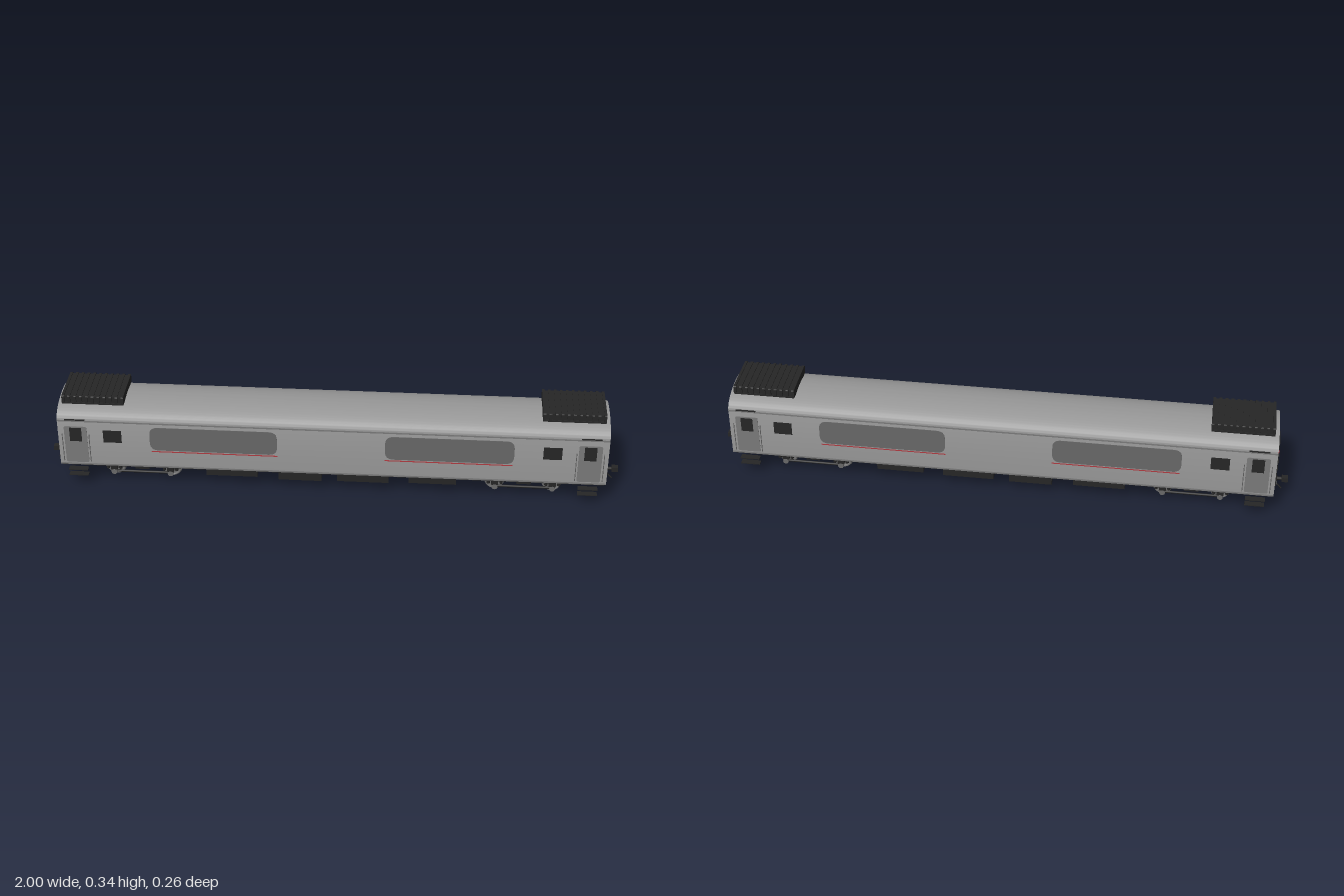
import * as THREE from 'three';
import { toCreasedNormals } from 'three/addons/utils/BufferGeometryUtils.js';

const mat = (name, color) => {
  const m = new THREE.MeshStandardMaterial({ color });
  m.name = name;
  return m;
};

export function createModel() {
  const grey = mat('body grey', 0x979797);
  const doorGrey = mat('door grey', 0x7a7a7a);
  const glass = mat('window grey', 0x686868);
  const metal = mat('wheel metal', 0x6a6a6a);
  const black = mat('black', 0x262626);
  const yellow = mat('end yellow', 0xc99726);
  const red = mat('red', 0xb03a40);

  const model = new THREE.Group();
  model.name = 'railCarriage';

  const add = (parent, name, geo, material, x = 0, y = 0, z = 0) => {
    const m = new THREE.Mesh(geo, material);
    m.name = name;
    m.position.set(x, y, z);
    parent.add(m);
    return m;
  };
  // Box given by its limits on each axis
  const box = (parent, name, material, x0, x1, y0, y1, z0, z1) =>
    add(parent, name, new THREE.BoxGeometry(x1 - x0, y1 - y0, z1 - z0), material,
      (x0 + x1) / 2, (y0 + y1) / 2, (z0 + z1) / 2);
  // Cylinder along an axis
  const rod = (parent, name, material, axis, r, len, x, y, z, sides = 12) => {
    const g = new THREE.CylinderGeometry(r, r, len, sides);
    if (axis === 'x') g.rotateZ(Math.PI / 2);
    if (axis === 'z') g.rotateX(Math.PI / 2);
    return add(parent, name, g, material, x, y, z);
  };
  // Rounded rectangle plate facing +z, centred on its own origin
  const roundedPlate = (w, h, r, depth) => {
    const s = new THREE.Shape();
    const a = w / 2, b = h / 2;
    s.moveTo(-a + r, -b);
    s.lineTo(a - r, -b).quadraticCurveTo(a, -b, a, -b + r);
    s.lineTo(a, b - r).quadraticCurveTo(a, b, a - r, b);
    s.lineTo(-a + r, b).quadraticCurveTo(-a, b, -a, b - r);
    s.lineTo(-a, -b + r).quadraticCurveTo(-a, -b, -a + r, -b);
    return new THREE.ExtrudeGeometry(s, { depth, bevelEnabled: false, curveSegments: 6 });
  };

  // Body shell with an arched roof and yellow ends
  const section = new THREE.Shape();
  section.moveTo(-0.12, 0.084);
  section.lineTo(0.12, 0.084);
  section.lineTo(0.12, 0.264);
  section.absellipse(0, 0.264, 0.12, 0.05, 0, Math.PI, false);
  section.closePath();
  const shell = new THREE.ExtrudeGeometry(section, { depth: 1.9, bevelEnabled: false, curveSegments: 28 });
  shell.translate(0, 0, -0.95).rotateY(Math.PI / 2);
  add(model, 'bodyShell', toCreasedNormals(shell, 0.5), [yellow, grey]);
  box(model, 'underframe', black, -0.945, 0.945, 0.076, 0.085, -0.112, 0.112);

  // Equipment boxes under the floor
  [[-0.44, -0.26, 0.046], [-0.185, -0.035, 0.039], [0.02, 0.2, 0.042], [0.27, 0.435, 0.046]]
    .forEach(([a, b, y]) => box(model, 'equipmentBox', black, a, b, y, 0.08, -0.1, 0.1));

  // One side of the car, turned about for the other
  const buildSide = () => {
    const side = new THREE.Group();
    side.name = 'carSide';
    box(side, 'gutter', doorGrey, -0.95, 0.95, 0.26, 0.265, 0.119, 0.122);
    box(side, 'lowerSill', doorGrey, -0.95, 0.95, 0.084, 0.09, 0.119, 0.1215);
    for (const s of [-1, 1]) {
      add(side, 'windowBand', roundedPlate(0.443, 0.092, 0.03, 0.003), glass, s * 0.408, 0.201, 0.1185);
      box(side, 'redStripe', red, s * 0.405 - 0.22, s * 0.405 + 0.22, 0.147, 0.151, 0.1195, 0.1206);
      box(side, 'smallWindow', black, s * 0.76 - 0.032, s * 0.76 + 0.032, 0.18, 0.228, 0.119, 0.1215);
      // Door with window, drip strip, rails and steps
      const x = s * 0.888;
      add(side, 'door', roundedPlate(0.08, 0.146, 0.008, 0.003), doorGrey, x, 0.167, 0.1185);
      box(side, 'doorWindow', black, x - 0.021, x + 0.021, 0.181, 0.235, 0.12, 0.1225);
      box(side, 'doorDripStrip', black, x - 0.035, x + 0.035, 0.266, 0.269, 0.116, 0.124);
      for (const d of [-1, 1]) {
        rod(side, 'doorRail', metal, 'y', 0.0015, 0.112, x + d * 0.047, 0.155, 0.124, 6);
        for (const y of [0.102, 0.208]) rod(side, 'railBracket', metal, 'z', 0.0012, 0.006, x + d * 0.047, y, 0.121, 6);
      }
      for (const y of [0.044, 0.066]) box(side, 'step', black, x - 0.034, x + 0.034, y - 0.0015, y + 0.0015, 0.108, 0.13);
    }
    return side;
  };
  const front = buildSide();
  const back = buildSide();
  back.rotation.y = Math.PI;
  model.add(front, back);

  // Roof cooling units with cross fins
  for (const s of [-1, 1]) {
    const unit = new THREE.Group();
    unit.name = 'roofUnit';
    unit.position.x = s * 0.828;
    box(unit, 'unitCore', black, -0.104, 0.104, 0.309, 0.337, -0.077, 0.077);
    box(unit, 'unitBase', black, -0.107, 0.107, 0.309, 0.314, -0.083, 0.083);
    for (let i = 0; i < 11; i++) {
      const fin = roundedPlate(0.166, 0.031, 0.006, 0.009);
      fin.rotateY(Math.PI / 2);
      add(unit, 'unitFin', fin, black, -0.1075 + i * 0.0206, 0.3245, 0);
    }
    model.add(unit);
  }

  // Carriage end, built facing +x
  const buildEnd = () => {
    const end = new THREE.Group();
    end.name = 'carEnd';
    box(end, 'gangwayDoor', yellow, 0.949, 0.954, 0.085, 0.246, -0.037, 0.037);
    box(end, 'endWindow', black, 0.953, 0.957, 0.18, 0.236, -0.016, 0.016);
    box(end, 'doorFrameTop', black, 0.949, 0.957, 0.245, 0.248, -0.039, 0.039);
    box(end, 'bufferBeam', black, 0.93, 0.958, 0.078, 0.086, -0.052, 0.052);
    box(end, 'couplerHousing', black, 0.9, 0.962, 0.058, 0.084, -0.014, 0.014);
    rod(end, 'couplerBar', black, 'x', 0.006, 0.05, 0.968, 0.074, 0);
    box(end, 'couplerHead', black, 0.978, 1.0, 0.066, 0.083, -0.01, 0.01);
    box(end, 'draftGear', black, 0.85, 0.94, 0.05, 0.078, -0.03, 0.03);
    for (const s of [-1, 1]) {
      box(end, 'doorFrameSide', black, 0.949, 0.957, 0.085, 0.247, s * 0.0375 - 0.0015, s * 0.0375 + 0.0015);
      for (const y of [0.125, 0.154, 0.184, 0.2125])
        box(end, 'rung', black, 0.949, 0.958, y - 0.0015, y + 0.0015, s * 0.05 - 0.012, s * 0.05 + 0.012);
      rod(end, 'tailLamp', red, 'x', 0.0055, 0.006, 0.951, 0.245, s * 0.08, 16);
      box(end, 'beamBracket', metal, 0.94, 0.96, 0.074, 0.084, s * 0.034 - 0.004, s * 0.034 + 0.004);
      const hose = new THREE.CatmullRomCurve3([
        new THREE.Vector3(0.95, 0.078, s * 0.018), new THREE.Vector3(0.962, 0.066, s * 0.021),
        new THREE.Vector3(0.978, 0.052, s * 0.026)]);
      add(end, 'brakeHose', new THREE.TubeGeometry(hose, 8, 0.0025, 6), black);
    }
    return end;
  };
  const endA = buildEnd();
  const endB = buildEnd();
  endB.rotation.y = Math.PI;
  model.add(endA, endB);

  // Wheel profile: tread, flange and dished web, turned about z
  const wheelProfile = [[0.008, -0.004], [0.026, -0.002], [0.029, -0.005], [0.035, -0.005],
    [0.035, -0.002], [0.032, 0], [0.031, 0.006], [0.028, 0.006], [0.025, 0.002], [0.012, 0.001],
    [0.01, 0.006], [0, 0.006]].reverse().map(([r, h]) => new THREE.Vector2(r, -h));
  const wheelGeo = toCreasedNormals(new THREE.LatheGeometry(wheelProfile, 28), 0.5);
  wheelGeo.rotateX(-Math.PI / 2);
  const wheelMetal = mat('wheel metal', 0x6a6a6a);
  wheelMetal.side = THREE.DoubleSide;

  // Bogies with wheels, axle boxes and springs
  for (const bx of [-0.67, 0.67]) {
    const bogie = new THREE.Group();
    bogie.name = 'bogie';
    bogie.position.x = bx;
    box(bogie, 'bolster', black, -0.025, 0.025, 0.05, 0.078, -0.085, 0.085);
    for (const s of [-1, 1]) {
      rod(bogie, 'sideBar', black, 'x', 0.0045, 0.2, 0, 0.036, s * 0.08, 8);
      for (const e of [-1, 1]) {
        const x = e * 0.1;
        const wheel = add(bogie, 'wheel', wheelGeo, wheelMetal, x, 0.035, s * 0.042);
        if (s < 0) wheel.rotation.y = Math.PI;
        rod(bogie, 'axleBox', metal, 'z', 0.01, 0.018, x, 0.036, s * 0.08, 16);
        box(bogie, 'springMount', black, x - 0.012, x + 0.012, 0.044, 0.077, s * 0.08 - 0.008, s * 0.08 + 0.008);
        for (const d of [-1, 1])
          rod(bogie, 'spring', black, 'y', 0.006, 0.03, x + d * 0.022, 0.062, s * 0.08, 10);
        box(bogie, 'brakeHanger', black, e * 0.142 - 0.004, e * 0.142 + 0.004, 0.04, 0.078, s * 0.042 - 0.005, s * 0.042 + 0.005);
      }
    }
    for (const e of [-1, 1]) rod(bogie, 'axle', black, 'z', 0.007, 0.16, e * 0.1, 0.035, 0);
    model.add(bogie);
  }
  return model;
}
